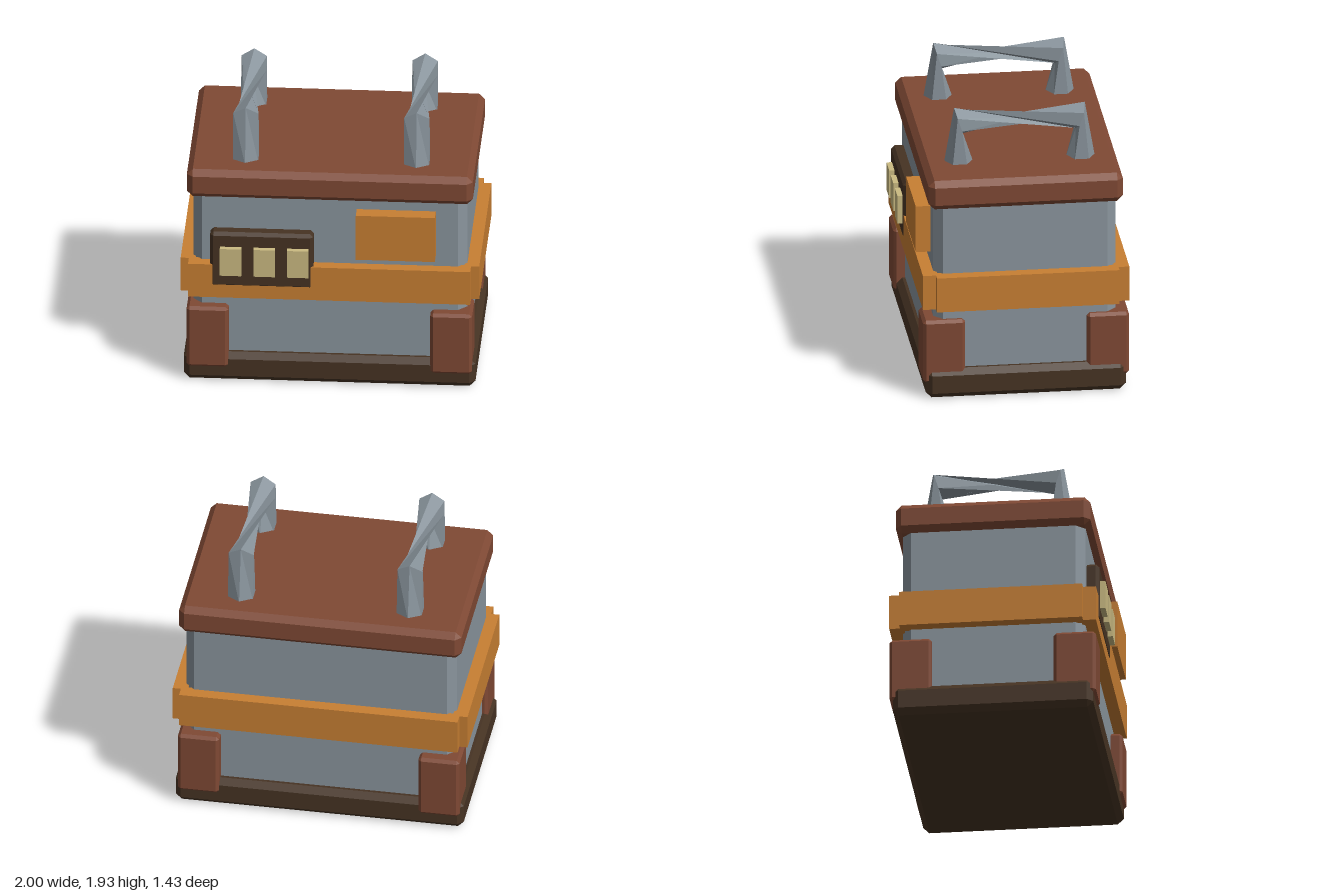
import * as THREE from 'three';
import { ConvexGeometry } from 'three/addons/geometries/ConvexGeometry.js';

const material = (name, color) => {
  const m = new THREE.MeshStandardMaterial({ color, flatShading: true, side: THREE.DoubleSide });
  m.name = name;
  return m;
};

// Box from min/max corners with every edge chamfered by b
function chamferBox([x0, y0, z0], [x1, y1, z1], b) {
  const h = [(x1 - x0) / 2, (y1 - y0) / 2, (z1 - z0) / 2];
  const points = [];
  for (const sx of [-1, 1]) for (const sy of [-1, 1]) for (const sz of [-1, 1]) {
    for (let axis = 0; axis < 3; axis++) {
      const [x, y, z] = h.map((v, i) => (i === axis ? v : v - b));
      points.push(new THREE.Vector3(sx * x, sy * y, sz * z));
    }
  }
  return new ConvexGeometry(points).translate((x0 + x1) / 2, (y0 + y1) / 2, (z0 + z1) / 2);
}

function plainBox([x0, y0, z0], [x1, y1, z1]) {
  return new THREE.BoxGeometry(x1 - x0, y1 - y0, z1 - z0)
    .translate((x0 + x1) / 2, (y0 + y1) / 2, (z0 + z1) / 2);
}

// Six-sided handle: two posts joined by a grip that twists half a turn
function handleGeometry() {
  const sides = 6, r = 0.098;
  // each ring: centre z, centre y, direction of its first corner (z, y), twist in corners
  const rings = [
    [0.41, 1.54, 1, 0, 0], [0.41, 1.84, 0.31, 0.95, 0],
    [-0.41, 1.84, -0.31, 0.95, 3], [-0.41, 1.54, -1, 0, 3],
  ];
  const positions = [], index = [];
  for (const [z, y, uz, uy, twist] of rings) {
    for (let i = 0; i < sides; i++) {
      const a = ((i + twist) / sides) * Math.PI * 2;
      const c = Math.cos(a) * r;
      positions.push(Math.sin(a) * r, y + uy * c, z + uz * c);
    }
  }
  for (let k = 0; k < rings.length - 1; k++) {
    for (let i = 0; i < sides; i++) {
      const a = k * sides + i, b = k * sides + (i + 1) % sides;
      index.push(a, a + sides, b, b, a + sides, b + sides);
    }
  }
  const g = new THREE.BufferGeometry();
  g.setAttribute('position', new THREE.Float32BufferAttribute(positions, 3));
  g.setIndex(index);
  const flat = g.toNonIndexed();
  flat.computeVertexNormals();
  return flat;
}

export function createModel() {
  const steel = material('steel grey', 0x8a959d);
  const rust = material('rust brown', 0x7f4934);
  const orange = material('orange', 0xc87f33);
  const dark = material('dark brown', 0x463323);
  const cream = material('cream', 0xcbbb82);

  const model = new THREE.Group();
  model.name = 'crate';
  const add = (name, geometry, mat) => {
    const mesh = new THREE.Mesh(geometry, mat);
    mesh.name = name;
    model.add(mesh);
    return mesh;
  };

  // Main shell
  add('base', chamferBox([-0.977, 0, -0.692], [0.977, 0.205, 0.656], 0.04), dark);
  add('body', chamferBox([-0.918, 0.08, -0.632], [0.918, 1.46, 0.596], 0.06), steel);
  add('lid', chamferBox([-0.958, 1.35, -0.674], [0.958, 1.555, 0.634], 0.04), rust);

  // Band around the middle, open at the corners
  add('frontBand', plainBox([-0.945, 0.637, 0.575], [0.945, 0.882, 0.675]), orange);
  add('backBand', plainBox([-0.945, 0.637, -0.715], [0.945, 0.882, -0.615]), orange);
  for (const [side, x] of [['left', 0.95], ['right', -0.95]]) {
    add(side + 'Band', plainBox([x - 0.05, 0.637, -0.642], [x + 0.05, 0.882, 0.588]), orange);
  }

  // Corner guards
  for (const [side, x] of [['Left', 0.816], ['Right', -0.816]]) {
    for (const [end, z] of [['front', 0.532], ['back', -0.572]]) {
      add(end + side + 'Guard',
        chamferBox([x - 0.14, 0.108, z - 0.142], [x + 0.14, 0.555, z + 0.142], 0.02), rust);
    }
  }

  // Control panel with three keys, and a plate beside it
  add('controlPanel', chamferBox([-0.798, 0.715, 0.56], [-0.107, 1.122, 0.679], 0.022), dark);
  [-0.658, -0.433, -0.208].forEach((x, i) => {
    add('key' + (i + 1), plainBox([x - 0.072, 0.82, 0.65], [x + 0.072, 1.02, 0.715]), cream);
  });
  add('frontPlate', plainBox([0.18, 0.96, 0.57], [0.71, 1.29, 0.695]), orange);

  // Lifting handles
  const handle = handleGeometry();
  for (const [side, x] of [['left', 0.57], ['right', -0.575]]) {
    add(side + 'Handle', handle, steel).position.set(x, 0, -0.02);
  }
  return model;
}
